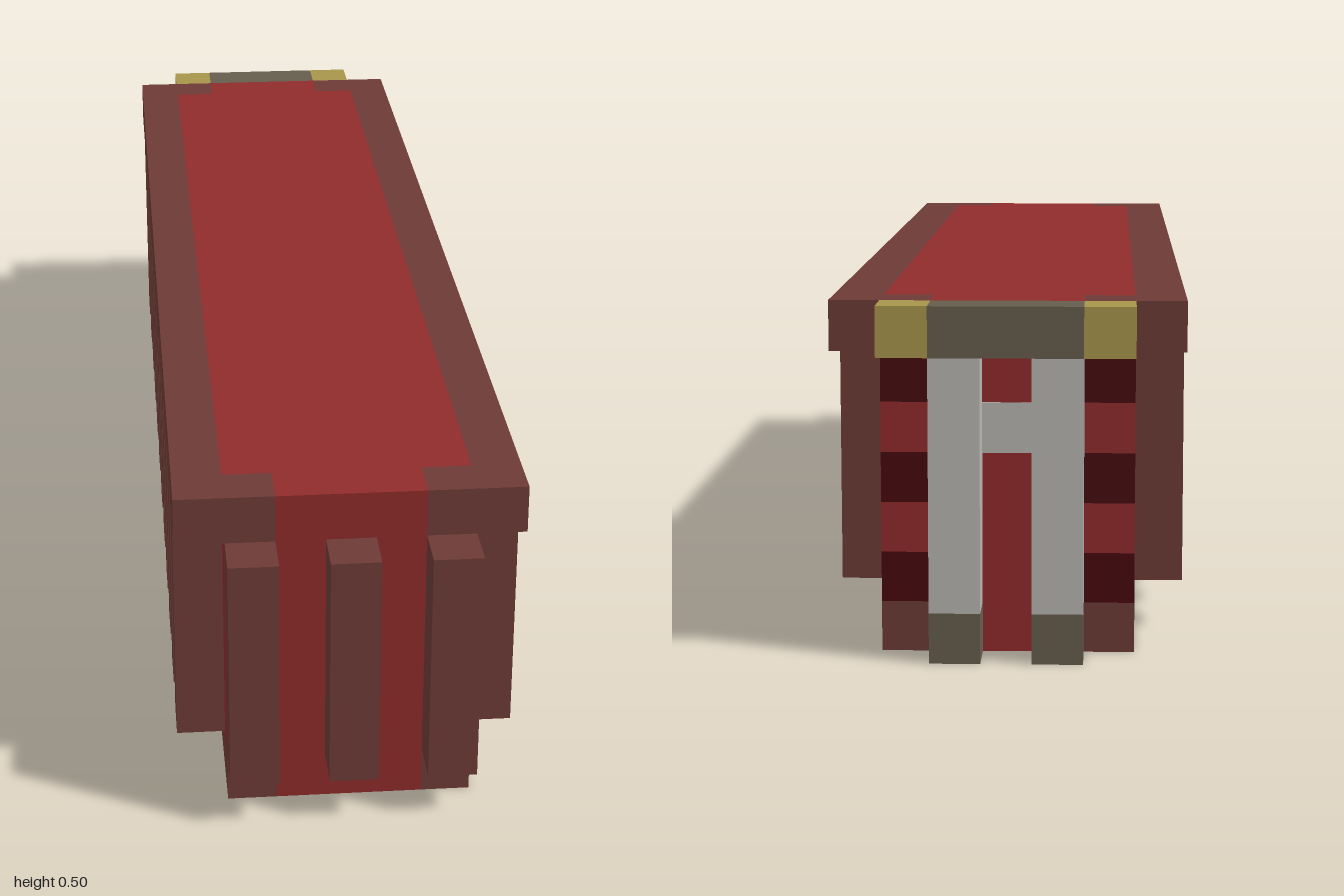
import * as THREE from 'three';

const U = 1 / 14; // one block

const material = (name, color) => {
  const m = new THREE.MeshStandardMaterial({ color });
  m.name = name;
  return m;
};

export function createModel() {
  const model = new THREE.Group();
  model.name = 'shippingContainer';

  const red = material('red', 0x902b2c);
  const brown = material('brown', 0x6d3b36);
  const darkRed = material('darkRed', 0x470a0e);
  const gold = material('gold', 0xa8954a);
  const greyBrown = material('greyBrown', 0x665e4d);
  const lightGrey = material('lightGrey', 0xb9b6b0);

  // box between two corners, given in blocks
  const block = (name, mat, [x0, x1], [y0, y1], [z0, z1]) => {
    const geo = new THREE.BoxGeometry((x1 - x0) * U, (y1 - y0) * U, (z1 - z0) * U);
    geo.translate((x0 + x1) / 2 * U, (y0 + y1) / 2 * U, (z0 + z1) / 2 * U);
    const mesh = new THREE.Mesh(geo, mat);
    mesh.name = name;
    model.add(mesh);
  };
  // the same box on both sides
  const pair = (name, mat, [x0, x1], y, z) => {
    block(name + 'Left', mat, [x0, x1], y, z);
    block(name + 'Right', mat, [-x1, -x0], y, z);
  };

  // walls, floor and roof
  block('walls', red, [-2.5, 2.5], [1, 6], [-12, 13]);
  block('backWall', red, [-1.5, 1.5], [1, 6], [-13, -12]);
  block('floor', red, [-1.5, 1.5], [0, 1], [-13, 13]);
  pair('floorRail', brown, [1.5, 2.5], [0, 1], [-13, 13]);
  block('roof', red, [-2.5, 2.5], [6, 7], [-12, 12]);
  pair('roofRail', brown, [2.5, 3.5], [6, 7], [-13, 13]);
  for (const z of [[12, 13], [-13, -12]]) {
    block('roofEnd', red, [-1.5, 1.5], [6, 7], z);
    pair('roofCorner', brown, [1.5, 2.5], [6, 7], z);
  }

  // striped rear corner posts
  for (let y = 1; y < 6; y++) {
    pair('cornerStripe', y % 2 ? darkRed : red, [1.5, 2.5], [y, y + 1], [-13, -12]);
  }

  // ribs along the sides and on the front
  for (let z = 12; z >= -10; z -= 2) {
    pair('sideRib', brown, [2.5, 3.5], [1, 6], [z - 1, z]);
  }
  for (const x of [-2, 0, 2]) {
    block('frontRib', brown, [x - 0.5, x + 0.5], [1, 6], [13, 14]);
  }

  // rear door hardware: header, locking bars, feet and latch plate
  block('doorHeader', greyBrown, [-1.5, 1.5], [6, 7], [-14, -13]);
  pair('headerEnd', gold, [1.5, 2.5], [6, 7], [-14, -13]);
  pair('lockBar', lightGrey, [0.5, 1.5], [1, 6], [-14, -13]);
  pair('lockBarFoot', greyBrown, [0.5, 1.5], [0, 1], [-14, -13]);
  block('latchPlate', lightGrey, [-0.5, 0.5], [4, 5], [-13.05, -13]);

  return model;
}
